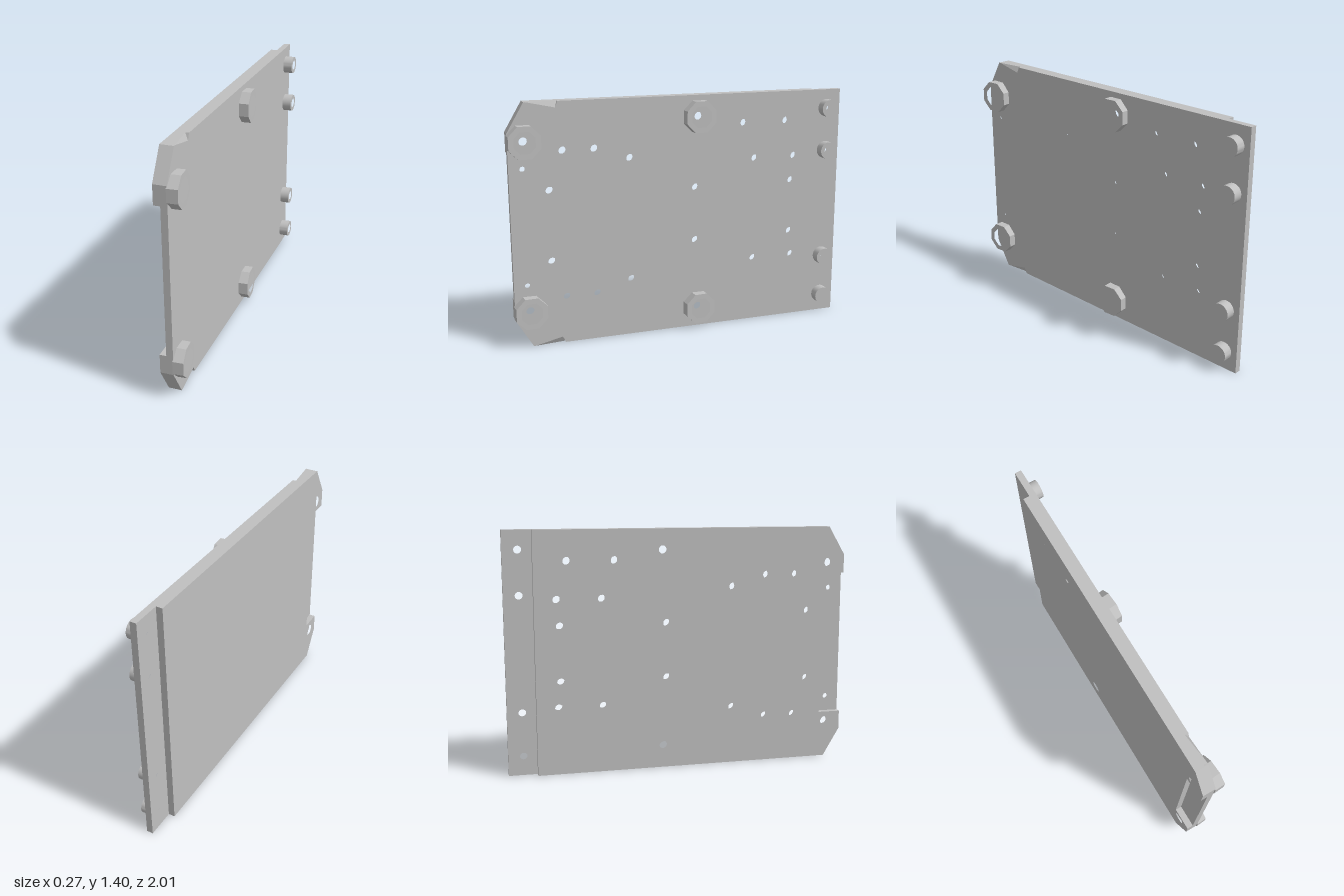
import * as THREE from 'three';
import { toCreasedNormals } from 'three/addons/utils/BufferGeometryUtils.js';

const H = 1.4;   // plate height
const E = 1.0025; // half length along the tilted plate
const mirrorY = list => list.concat(list.map(([z, y, ...r]) => [z, H - y, ...r]));

// Hole positions as [z, y, radius]
const screwHoles = [
  ...mirrorY([[0.70, 1.125], [0.52, 1.125], [0.315, 1.06], [0.78, 0.905], [-0.08, 0.86],
    [-0.455, 1.01], [-0.71, 1.01], [-0.695, 0.86]]),
  [-0.38, 1.225], [-0.65, 1.225],
].map(([z, y]) => [z, y, 0.023]);
const pinHoles = mirrorY([[0.925, 1.035, 0.016]]);
const standoffs = mirrorY([[-0.915, 1.29], [-0.915, 1.035]]);
const frontNuts = mirrorY([[0.915, 1.187]]);
const middleNuts = mirrorY([[-0.095, 1.278]]);
const nuts = [...frontNuts, ...middleNuts];

// Extrude a [z, y] outline along x from x0 to x1, cutting the given holes
function slab(outline, holes, x0, x1) {
  const shape = new THREE.Shape(outline.map(([z, y]) => new THREE.Vector2(-z, y)));
  for (const h of holes) {
    const path = new THREE.Path();
    if (h.length === 3) path.absarc(-h[0], h[1], h[2], 0, Math.PI * 2, true);
    else path.setFromPoints(h[3].map(([z, y]) => new THREE.Vector2(-z, y)));
    shape.holes.push(path);
  }
  const geo = new THREE.ExtrudeGeometry(shape, { depth: x1 - x0, bevelEnabled: false, curveSegments: 24 });
  geo.rotateY(Math.PI / 2);
  geo.translate(x0, 0, 0);
  return toCreasedNormals(geo, 0.5);
}

// Regular polygon around (z, y) with flats on the axes
function polygon(z, y, apothem, n) {
  const r = apothem / Math.cos(Math.PI / n);
  return Array.from({ length: n }, (_, i) => {
    const a = (i + 0.5) * 2 * Math.PI / n;
    return [z + r * Math.cos(a), y + r * Math.sin(a)];
  });
}

export function createModel() {
  const model = new THREE.Group();
  model.name = 'mountingPlate';
  const grey = new THREE.MeshStandardMaterial({ color: 0xbfbfbf });
  grey.name = 'grey';
  const greySheet = new THREE.MeshStandardMaterial({ color: 0xbfbfbf, side: THREE.DoubleSide });
  greySheet.name = 'grey';

  // Everything that follows the plate's slight tilt
  const tilted = new THREE.Group();
  tilted.name = 'tiltedPlate';
  tilted.position.x = 0.01;
  tilted.rotation.y = -0.07;
  model.add(tilted);
  const add = (parent, name, geo, mat = grey) => {
    const mesh = new THREE.Mesh(geo, mat);
    mesh.name = name;
    parent.add(mesh);
  };

  const nutHoles = r => nuts.map(([z, y]) => [z, y, r]);
  const standoffHoles = standoffs.map(([z, y]) => [z, y, 0.022]);
  const T = 0.075, mid = 0.0375, d = 0.02;

  // Back layer, stopping short at the rear and notched between the front ears
  add(tilted, 'backLayer', slab([
    [-0.838, 0], [0.905, 0], [E, 0.165], [E, 0.275], [0.87, 0.275],
    [0.87, 1.125], [E, 1.125], [E, 1.235], [0.905, H], [-0.838, H],
  ], [...screwHoles, ...nutHoles(0.035)], -T, -mid));

  // Full-length layer
  const allHoles = [...screwHoles, ...pinHoles, ...standoffHoles, ...nutHoles(0.024)];
  add(tilted, 'mainLayer', slab([
    [-E, 0], [0.905, 0], [E, 0.165], [E, 1.235], [0.905, H], [-E, H],
  ], allHoles, -mid, -d));

  // Outer skin with a small wedge cut in the top and bottom edges
  add(tilted, 'outerSkin', slab([
    [-E, 0], [0.72, 0], [0.735, 0.035], [0.895, 0], [0.905, 0], [E, 0.165],
    [E, 1.235], [0.905, H], [0.895, H], [0.735, H - 0.035], [0.72, H], [-E, H],
  ], allHoles, -d, 0));

  // Sloping floors of the wedge cuts
  for (const [edge, inner] of [[0, 0.035], [H, H - 0.035]]) {
    const a = [0, edge, 0.895], c = [0, inner, 0.735];
    const b = [-d, edge, 0.72], a2 = [-d, edge, 0.895];
    const corners = edge === 0 ? [a, b, c, a, a2, b] : [a, c, b, a, b, a2];
    const geo = new THREE.BufferGeometry();
    geo.setAttribute('position', new THREE.Float32BufferAttribute(corners.flat(), 3));
    geo.computeVertexNormals();
    add(tilted, 'wedgeCut', geo, greySheet);
  }

  // Round standoffs along the rear edge
  for (const [z, y] of standoffs) {
    const ring = Array.from({ length: 32 }, (_, i) => {
      const a = i * Math.PI / 16;
      return [z + 0.052 * Math.cos(a), y + 0.052 * Math.sin(a)];
    });
    add(tilted, 'standoff', slab(ring, [[z, y, 0.028]], -0.002, 0.055));
  }

  // Octagonal nut pockets, square to the axes
  for (const [list, x0, x1] of [[frontNuts, -0.064, -0.004], [middleNuts, 0.008, 0.067]]) {
    for (const [z, y] of list) {
      add(model, 'nutPocket', slab(polygon(z, y, 0.09, 8), [[z, y, 0, polygon(z, y, 0.06, 8)]], x0, x1));
    }
  }
  return model;
}
